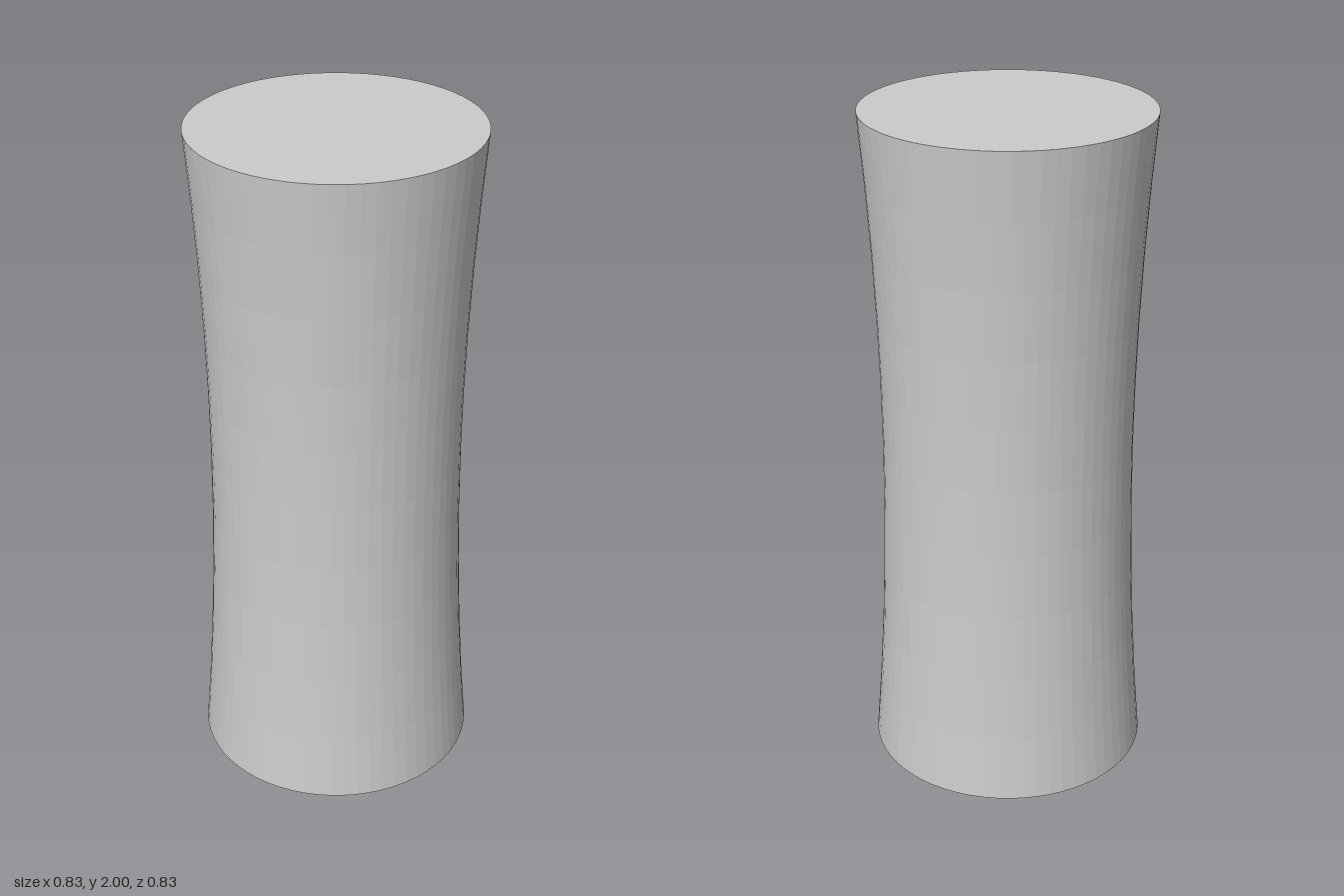
import * as THREE from 'three';

const SIDES = 64;
const HEIGHT = 2;
const END_R = 0.415, WAIST_R = 0.37;
const RECESS_R = 0.265, BORE_R = 0.173;
const PIN = { x: 0.02, z: -0.335, r: 0.05, depth: 0.2 };

export function createModel() {
  const group = new THREE.Group();
  const material = new THREE.MeshStandardMaterial({ color: 0xcccccc, flatShading: true });

  const add = (name, geometry) => {
    const mesh = new THREE.Mesh(geometry, material);
    mesh.name = name;
    group.add(mesh);
    return mesh;
  };
  const lathe = (points, sides = SIDES) =>
    new THREE.LatheGeometry(points.map(([r, y]) => new THREE.Vector2(r, y)), sides);

  // Waisted column with a closed flat top
  const profile = [];
  const steps = 10;
  for (let i = 0; i <= steps; i++) {
    const t = (2 * i) / steps - 1;
    profile.push([WAIST_R + (END_R - WAIST_R) * t * t, (HEIGHT * i) / steps]);
  }
  profile.push([0, HEIGHT]);
  add('column', lathe(profile));

  // Underside with openings for the recess and the pin hole
  const base = new THREE.Shape().absarc(0, 0, END_R, 0, Math.PI * 2);
  base.holes.push(
    new THREE.Path().absarc(0, 0, RECESS_R, 0, Math.PI * 2, true),
    new THREE.Path().absarc(PIN.x, PIN.z, PIN.r, 0, Math.PI * 2, true)
  );
  add('underside', new THREE.ShapeGeometry(base, SIDES / 2).rotateX(Math.PI / 2));

  // Countersunk recess leading into a blind bore
  add('countersunkRecess', lathe([[0, 0.207], [BORE_R, 0.207], [BORE_R, 0.113], [RECESS_R, 0]]));

  // Small blind hole near the rim
  const pinHole = add('pinHole', lathe([[0, PIN.depth], [PIN.r, PIN.depth], [PIN.r, 0]]));
  pinHole.position.set(PIN.x, 0, PIN.z);

  return group;
}
